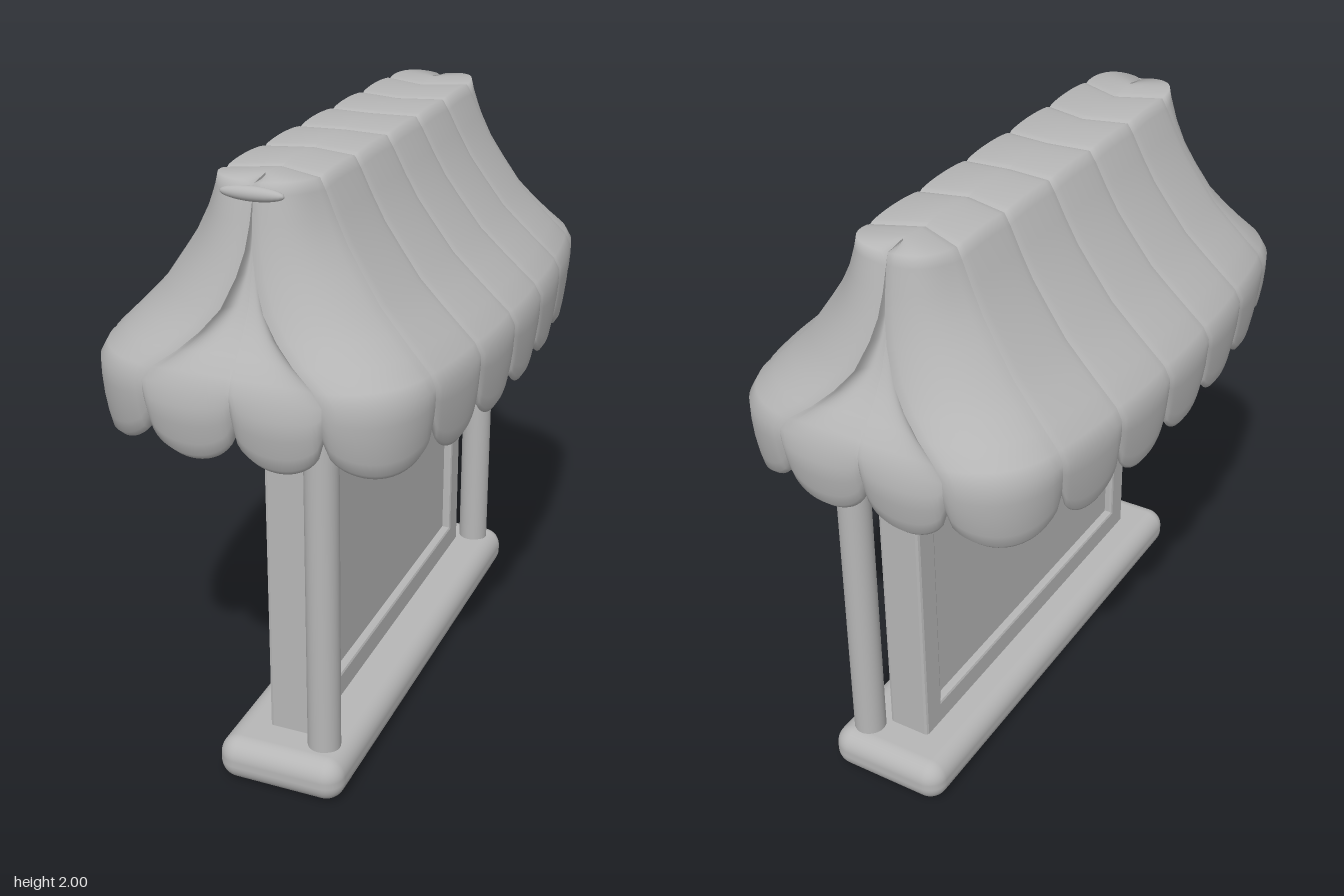
import * as THREE from 'three';
import { RoundedBoxGeometry } from 'three/addons/geometries/RoundedBoxGeometry.js';

const grey = new THREE.MeshStandardMaterial({ color: 0xb6b6b6, side: THREE.DoubleSide });
grey.name = 'plain grey';

const lerp = THREE.MathUtils.lerp;

function add(parent, name, geometry, x = 0, y = 0, z = 0) {
  const mesh = new THREE.Mesh(geometry, grey);
  mesh.name = name;
  mesh.position.set(x, y, z);
  parent.add(mesh);
  return mesh;
}

// Seams between awning strips along one half of the eave, and their ends on the ridge: [x, z]
const eave = [[0, 0.968], [0.28, 0.962], [0.525, 0.715], [0.565, 0.43], [0.582, 0.143],
  [0.582, -0.143], [0.565, -0.43], [0.525, -0.715], [0.28, -0.962], [0, -0.968]];
const ridge = [[0, 0.77], [0, 0.77], [0.145, 0.645], [0.145, 0.39], [0.145, 0.13],
  [0.145, -0.13], [0.145, -0.39], [0.145, -0.645], [0, -0.77], [0, -0.77]];
// Slope of the cloth: outward fraction and height
const slope = [[0, 1.985], [0.05, 1.95], [0.14, 1.875], [0.24, 1.8], [0.36, 1.73], [0.52, 1.64],
  [0.68, 1.575], [0.82, 1.52], [0.95, 1.47], [1, 1.43]];
// Scalloped edge: plan scale and how far down to the hem
const hem = [[1, 0.25], [0.995, 0.5], [0.985, 0.75], [0.975, 0.92], [0.955, 1], [0.925, 0.92], [0.91, 0.6], [0.91, 0.3]];

// Point on a strip border, rounded with a control point on the corner strips
function border(list, i, s, control) {
  const [a, b] = [list[i], list[i + 1]];
  return [0, 1].map(k => control
    ? (1 - s) ** 2 * a[k] + 2 * s * (1 - s) * control[k] + s * s * b[k]
    : lerp(a[k], b[k], s));
}

// One puffed strip: ridge top, slope, scalloped hem and inner lining
function strip(i) {
  const end = i === 0 || i === 8, corner = i === 1 || i === 7;
  const dir = i < 5 ? 1 : -1, cols = 20;
  const grid = [];
  for (let c = 0; c <= cols; c++) {
    const s = c / cols;
    const puff = Math.sqrt(Math.max(0, Math.sin(Math.PI * s)));
    const E = border(eave, i, s, corner && [0.48, 0.91 * dir]);
    const R = border(ridge, i, s, corner && [0.145, 0.78 * dir]);
    const fromCentre = i < 5 ? s : 1 - s;
    const ease = end ? 2.2 : corner ? lerp(2.2, 1, fromCentre) : 1;
    const column = [[0, 1.985 + 0.012 * puff, R[1] * 0.9]];
    for (const [f, y] of slope) {
      let x = lerp(R[0], E[0], f ** ease), z = lerp(R[1], E[1], f);
      if (end) z -= dir * 0.045 * Math.sin(Math.PI * f) * (1 - fromCentre ** 4);
      else {
        x *= 1 + 0.018 * puff;
        if (corner) z *= 1 + 0.018 * puff;
      }
      column.push([x, y + (end ? 0 : 0.012 * puff * (1 - f)), z]);
    }
    const low = 1.305 - 0.11 * Math.sqrt(Math.max(0, 1 - (2 * s - 1) ** 2));
    for (const [k, d] of hem) {
      const g = k * (1 + 0.018 * puff);
      column.push([E[0] * g, lerp(1.43, low, d), E[1] * (end || corner ? g : k)]);
    }
    column.push([E[0] * 0.9, 1.37, E[1] * 0.9], [0, 1.37, E[1] * 0.7]);
    grid.push(column);
  }
  const rows = grid[0].length, index = [];
  for (let c = 0; c < cols; c++) for (let r = 0; r < rows - 1; r++) {
    const a = c * rows + r, b = a + rows;
    index.push(a, a + 1, b + 1, a, b + 1, b);
  }
  const g = new THREE.BufferGeometry();
  g.setAttribute('position', new THREE.Float32BufferAttribute(grid.flat(2), 3));
  g.setIndex(index);
  g.computeVertexNormals();
  return g;
}

export function createModel() {
  const model = new THREE.Group();
  model.name = 'awningSignBoard';

  // Soft-edged base
  add(model, 'base', new RoundedBoxGeometry(0.43, 0.15, 1.74, 6, 0.065), 0.065, 0.075, 0);

  // Frame around the board, open on both faces
  const outline = new THREE.Shape();
  outline.moveTo(-0.71, 0.12).lineTo(0.71, 0.12).lineTo(0.71, 1.42).lineTo(-0.71, 1.42).closePath();
  const opening = new THREE.Path();
  opening.moveTo(-0.635, 0.225).lineTo(-0.635, 1.35).lineTo(0.635, 1.35).lineTo(0.635, 0.225).closePath();
  outline.holes.push(opening);
  const frameGeometry = new THREE.ExtrudeGeometry(outline, {
    depth: 0.126, bevelThickness: 0.012, bevelSize: 0.01, bevelSegments: 2 });
  frameGeometry.rotateY(Math.PI / 2);
  add(model, 'frame', frameGeometry, -0.008, 0, 0);
  add(model, 'board', new THREE.BoxGeometry(0.09, 1.2, 1.29), 0.055, 0.78, 0);

  // Round posts beside the board
  for (const z of [0.745, -0.765]) {
    add(model, 'post', new THREE.CylinderGeometry(0.054, 0.054, 1.3, 32), 0.183, 0.76, z);
  }

  // Awning: one half, turned round for the other
  for (const turn of [0, Math.PI]) {
    const half = new THREE.Group();
    half.name = 'awningHalf';
    half.rotation.y = turn;
    for (let i = 0; i < 9; i++) add(half, 'awningStrip', strip(i));
    model.add(half);
  }

  // Tie at the front of the ridge
  const neck = add(model, 'ridgeTieNeck', new THREE.CylinderGeometry(0.05, 0.13, 0.12, 24), 0, 1.96, 0.715);
  neck.rotation.x = Math.PI / 2;
  neck.scale.z = 0.25;
  const bar = add(model, 'ridgeTie', new THREE.SphereGeometry(1, 24, 16), 0, 1.96, 0.785);
  bar.scale.set(0.1, 0.022, 0.022);

  return model;
}
